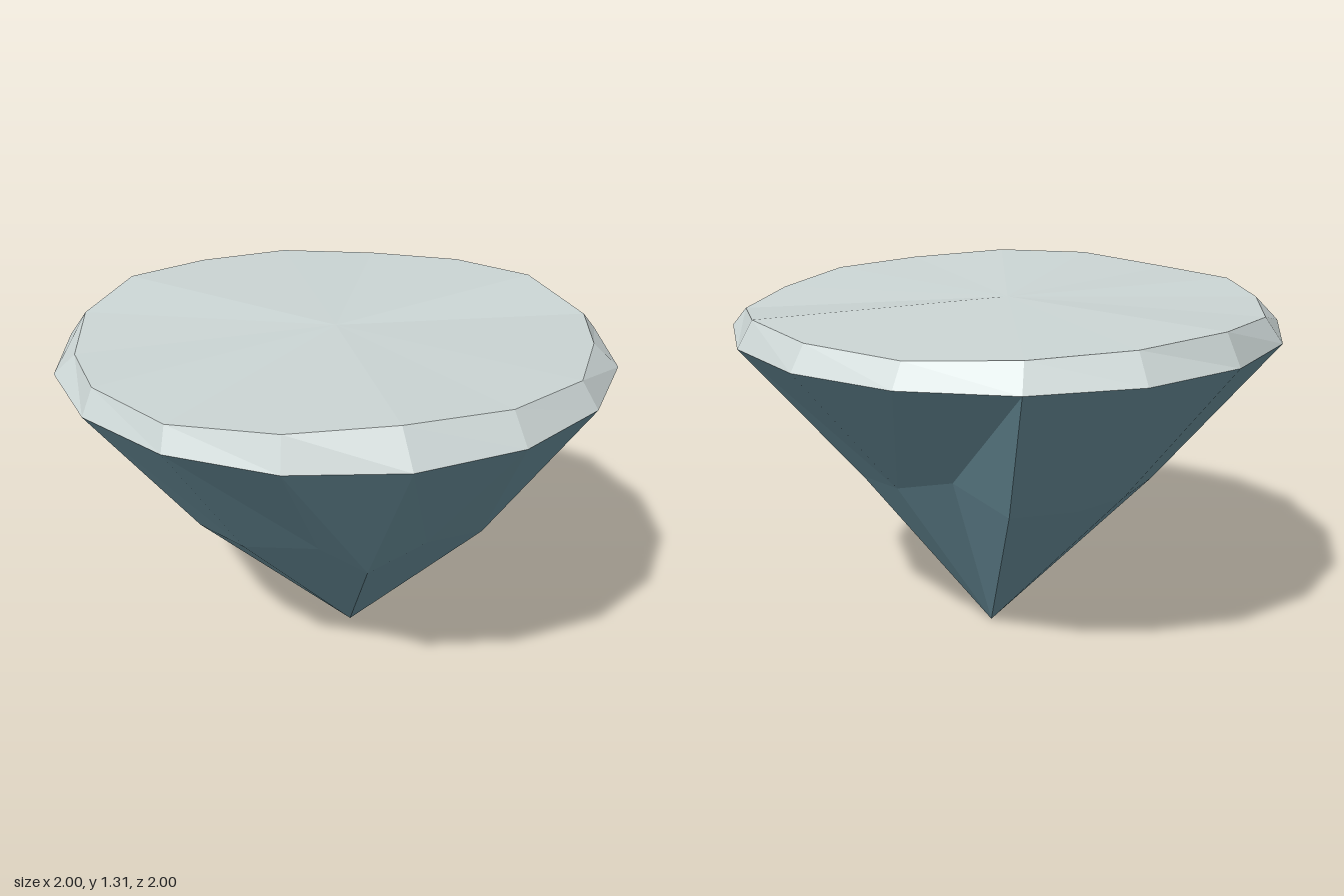
import * as THREE from 'three';

const SIDES = 16;
const RIM_Y = 1.19;

// Uneven rings as [x, y, z], starting at +x and turning toward +z
const TABLE = [
  [0.91, 1.265, -0.02], [0.866, 1.28, 0.358], [0.658, 1.29, 0.642], [0.337, 1.308, 0.85],
  [-0.005, 1.3, 0.952], [-0.38, 1.272, 0.882], [-0.68, 1.28, 0.668], [-0.84, 1.27, 0.385],
  [-0.936, 1.278, 0], [-0.872, 1.3, -0.364], [-0.658, 1.288, -0.647], [-0.364, 1.28, -0.856],
  [0, 1.265, -0.93], [0.364, 1.275, -0.866], [0.663, 1.287, -0.674], [0.88, 1.25, -0.36],
];
const WAIST = [
  [0.59, 0.66, 0], [0.57, 0.63, 0.25], [0.39, 0.67, 0.43], [0.2, 0.6, 0.55],
  [0.04, 0.71, 0.6], [-0.24, 0.645, 0.52], [-0.42, 0.66, 0.42], [-0.53, 0.65, 0.23],
  [-0.56, 0.65, 0], [-0.52, 0.65, -0.23], [-0.41, 0.65, -0.42], [-0.21, 0.65, -0.56],
  [0.01, 0.735, -0.52], [0.22, 0.69, -0.52], [0.4, 0.68, -0.42], [0.56, 0.67, -0.23],
];
const TABLE_CENTRE = [0, 1.285, 0];
const TIP = [0.05, 0, -0.05];

// Regular widest ring
const RIM = Array.from({ length: SIDES }, (_, k) => {
  const a = (k / SIDES) * Math.PI * 2;
  return [Math.cos(a), RIM_Y, Math.sin(a)];
});

// Band of faces between two rings; flipped lists the quads cut the other way
function band(upper, lower, flipped = []) {
  const out = [];
  for (let k = 0; k < SIDES; k++) {
    const n = (k + 1) % SIDES;
    const [a, b, c, d] = [upper[k], upper[n], lower[n], lower[k]];
    if (flipped.includes(k)) out.push(a, b, c, a, c, d);
    else out.push(a, b, d, b, c, d);
  }
  return out;
}

// Fan of faces from a ring to one point
function fan(ring, point, up) {
  const out = [];
  for (let k = 0; k < SIDES; k++) {
    const a = ring[k], b = ring[(k + 1) % SIDES];
    out.push(...(up ? [b, a, point] : [a, b, point]));
  }
  return out;
}

// Faceted mesh from a list of triangle corners
function facets(name, corners, material) {
  const geometry = new THREE.BufferGeometry();
  geometry.setAttribute('position', new THREE.Float32BufferAttribute(corners.flat(), 3));
  geometry.computeVertexNormals();
  const mesh = new THREE.Mesh(geometry, material);
  mesh.name = name;
  return mesh;
}

export function createModel() {
  const pale = new THREE.MeshStandardMaterial({ color: 0xccd6d5 });
  pale.name = 'pale grey';
  const teal = new THREE.MeshStandardMaterial({ color: 0x6f96a3 });
  teal.name = 'slate teal';

  const group = new THREE.Group();
  group.name = 'facetedIsland';
  group.add(
    facets('topSurface', fan(TABLE, TABLE_CENTRE, true), pale),
    facets('rimBevel', band(TABLE, RIM), pale),
    facets('upperUnderside', band(RIM, WAIST, [11, 12]), teal),
    facets('lowerPoint', fan(WAIST, TIP, false), teal),
  );
  return group;
}
